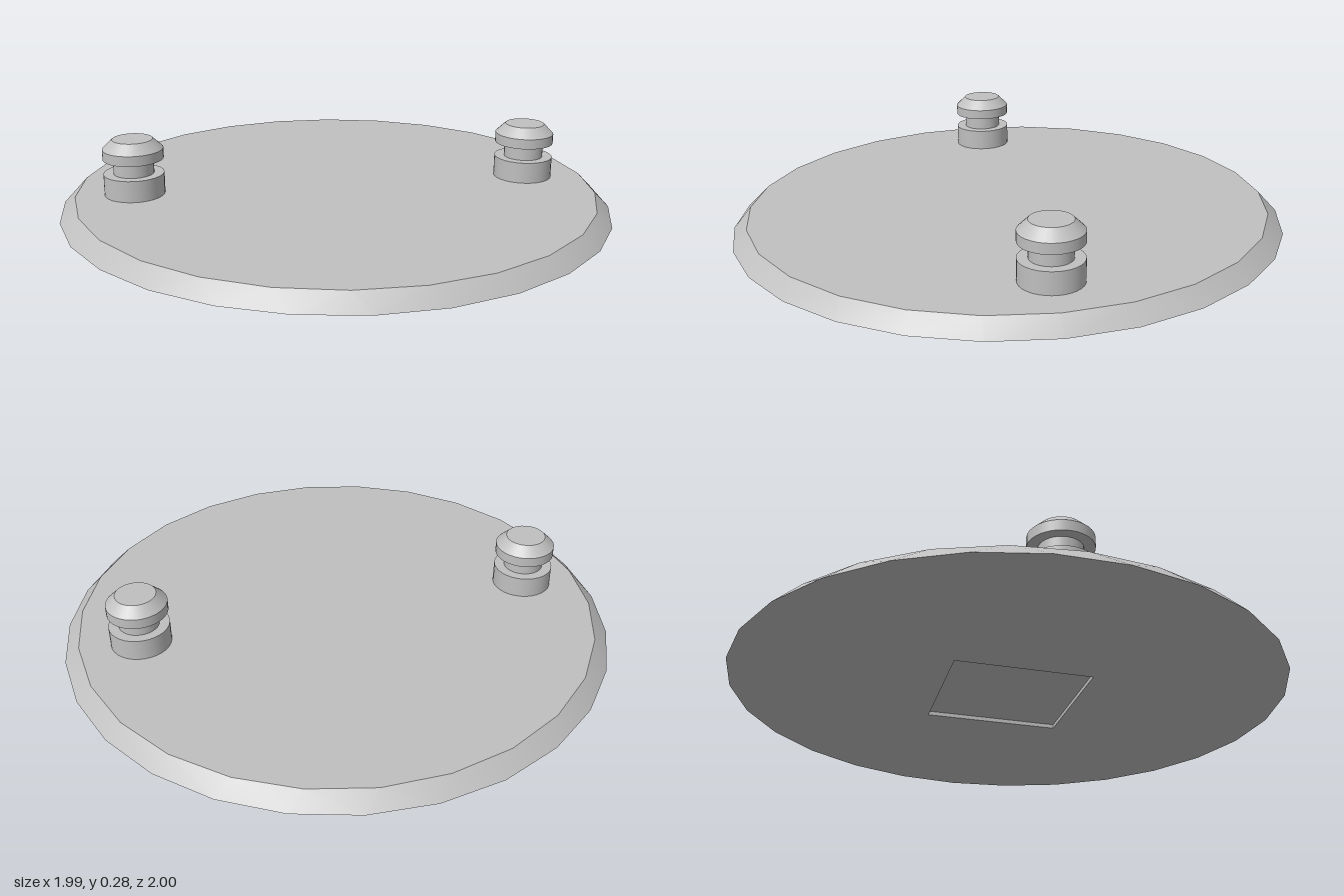
import * as THREE from 'three';

const BOTTOM_SIDES = 27, TOP_SIDES = 26;
const R_BOTTOM = 1.0, R_TOP = 0.946, THICK = 0.055;
const HOLE = 0.247, HOLE_DEPTH = 0.015;

const grey = new THREE.MeshStandardMaterial({ color: 0xc0c0c0 });
grey.name = 'grey';

function part(name, geometry) {
  const mesh = new THREE.Mesh(geometry, grey);
  mesh.name = name;
  return mesh;
}

// Sloped rim joining the wider underside ring to the top ring
function rimGeometry() {
  const pos = [], index = [];
  const ring = (n, r, y) => {
    for (let i = 0; i < n; i++) {
      const a = (i / n) * Math.PI * 2;
      pos.push(r * Math.cos(a), y, r * Math.sin(a));
    }
  };
  ring(BOTTOM_SIDES, R_BOTTOM, 0);
  ring(TOP_SIDES, R_TOP, THICK);
  const low = i => i % BOTTOM_SIDES;
  const high = j => BOTTOM_SIDES + (j % TOP_SIDES);
  let i = 0, j = 0;
  while (i < BOTTOM_SIDES || j < TOP_SIDES) {
    if (j >= TOP_SIDES || (i < BOTTOM_SIDES && (i + 1) / BOTTOM_SIDES <= (j + 1) / TOP_SIDES)) {
      index.push(low(i), high(j), low(i + 1));
      i++;
    } else {
      index.push(high(j), high(j + 1), low(i));
      j++;
    }
  }
  const g = new THREE.BufferGeometry();
  g.setAttribute('position', new THREE.Float32BufferAttribute(pos, 3));
  g.setIndex(index);
  g.computeVertexNormals();
  return g;
}

// Flat underside with a square opening
function undersideGeometry() {
  const shape = new THREE.Shape();
  for (let i = 0; i < BOTTOM_SIDES; i++) {
    const a = (i / BOTTOM_SIDES) * Math.PI * 2;
    shape[i ? 'lineTo' : 'moveTo'](R_BOTTOM * Math.cos(a), R_BOTTOM * Math.sin(a));
  }
  const h = HOLE;
  shape.holes.push(new THREE.Path([[-h, -h], [-h, h], [h, h], [h, -h]].map(p => new THREE.Vector2(...p))));
  return new THREE.ShapeGeometry(shape).rotateX(Math.PI / 2);
}

// Shallow square recess: ceiling and four inward-facing walls
function makeRecess() {
  const recess = new THREE.Group();
  recess.name = 'recess';
  recess.add(part('recessCeiling',
    new THREE.PlaneGeometry(HOLE * 2, HOLE * 2).rotateX(Math.PI / 2).translate(0, HOLE_DEPTH, 0)));
  for (let k = 0; k < 4; k++) {
    recess.add(part('recessWall',
      new THREE.PlaneGeometry(HOLE * 2, HOLE_DEPTH).translate(0, HOLE_DEPTH / 2, -HOLE).rotateY(k * Math.PI / 2)));
  }
  return recess;
}

// Grooved peg: base, neck, and chamfered cap, each section kept sharp at its edges
function makePeg(name, x) {
  const peg = new THREE.Group();
  peg.name = name;
  const section = (label, rTop, rBottom, y0, y1, open = false) =>
    peg.add(part(label, new THREE.CylinderGeometry(rTop, rBottom, y1 - y0, 32, 1, open).translate(0, (y0 + y1) / 2, 0)));
  section('pegBase', 0.108, 0.108, 0.04, 0.133);
  section('pegNeck', 0.072, 0.072, 0.133, 0.187, true);
  section('pegCap', 0.108, 0.108, 0.187, 0.224);
  section('pegChamfer', 0.072, 0.108, 0.224, 0.259);
  peg.position.set(x, 0, -0.017);
  return peg;
}

export function createModel() {
  const model = new THREE.Group();
  model.name = 'peggedDisc';

  // Everything leans very slightly toward the front
  const body = new THREE.Group();
  body.name = 'body';
  body.add(part('discRim', rimGeometry()));
  body.add(part('discTop', new THREE.CircleGeometry(R_TOP, TOP_SIDES).rotateX(-Math.PI / 2).translate(0, THICK, 0)));
  body.add(part('discUnderside', undersideGeometry()));
  body.add(makeRecess());
  body.add(makePeg('leftPeg', 0.725), makePeg('rightPeg', -0.735));
  body.rotation.set(0.0155, 0, -0.003);
  body.position.y = 0.0165;
  model.add(body);
  return model;
}
